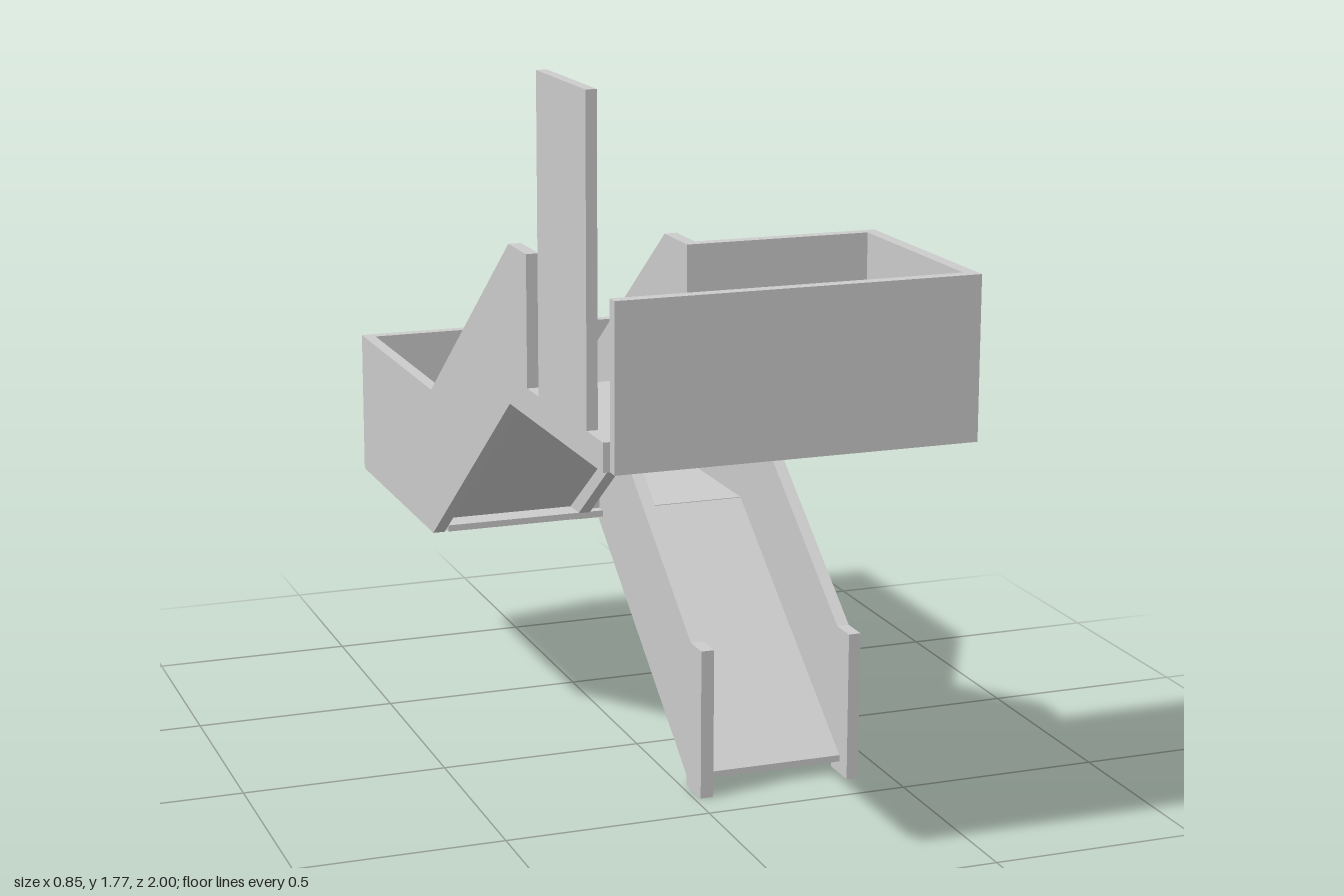
import * as THREE from 'three';

const material = new THREE.MeshStandardMaterial({ color: 0xcccccc, flatShading: true });

// Box given by its extents on each axis
function box(name, [x0, x1], [y0, y1], [z0, z1]) {
  const mesh = new THREE.Mesh(new THREE.BoxGeometry(x1 - x0, y1 - y0, z1 - z0), material);
  mesh.position.set((x0 + x1) / 2, (y0 + y1) / 2, (z0 + z1) / 2);
  mesh.name = name;
  return mesh;
}

// Side profile of [z, y] points, extruded from x0 to x1
function profile(name, [x0, x1], points) {
  const shape = new THREE.Shape(points.map(([z, y]) => new THREE.Vector2(z, y)));
  const geometry = new THREE.ExtrudeGeometry(shape, { depth: x1 - x0, bevelEnabled: false });
  geometry.rotateY(-Math.PI / 2).translate(x1, 0, 0);
  const mesh = new THREE.Mesh(geometry, material);
  mesh.name = name;
  return mesh;
}

// Sloping slab between two [z, y] points on its top surface
function ramp(name, xs, [za, ya], [zb, yb], t = 0.016) {
  return profile(name, xs, [[za, ya - t], [zb, yb - t], [zb, yb], [za, ya]]);
}

export function createModel() {
  const model = new THREE.Group();
  const low = [0.5, 0.87], high = [0.985, 1.355];

  // Lower flight: two parapets and the sloping slab
  const lowerFlight = new THREE.Group();
  lowerFlight.name = 'lowerFlight';
  const lowerParapet = [[0.405, 0], [0.405, 0.367], [0.335, 0.367], [-0.32, 0.852],
    [-0.32, 0.87], [-0.335, 0.87], [-0.335, 0.5], [0.31, 0.025], [0.31, 0]];
  lowerFlight.add(
    profile('lowerInnerParapet', [0.015, 0.047], lowerParapet),
    profile('lowerOuterParapet', [0.393, 0.423], lowerParapet),
    ramp('lowerRamp', [0.047, 0.393], [0.36, 0.046], [-0.3, 0.525]),
  );

  // Middle landing: floor, three walls and the newel block between flights
  const middleLanding = new THREE.Group();
  middleLanding.name = 'middleLanding';
  middleLanding.add(
    box('middleFloor', [-0.395, 0.393], [0.509, 0.525], [-0.97, -0.298]),
    box('middleBackWall', [-0.425, 0.423], low, [-1, -0.97]),
    box('middleLeftWall', [0.393, 0.423], low, [-0.97, -0.335]),
    box('middleRightWall', [-0.425, -0.395], low, [-0.97, -0.33]),
    box('newelBlock', [-0.05, 0.047], low, [-0.477, -0.325]),
  );

  // Upper flight: parapets run level onto the top landing
  const upperFlight = new THREE.Group();
  upperFlight.name = 'upperFlight';
  const upperParapet = (end) => [[-0.33, 0.5], [0.325, 0.985], [end, 0.985],
    [end, 1.355], [0.325, 1.355], [-0.33, 0.87]];
  upperFlight.add(
    profile('upperInnerParapet', [-0.05, -0.02], upperParapet(0.47)),
    profile('upperOuterParapet', [-0.425, -0.395], upperParapet(0.455)),
    ramp('upperRamp', [-0.395, -0.05], [-0.385, 0.525], [0.29, 1.01]),
  );

  // Top landing: L-shaped floor, walls, doorway kerb and door
  const topLanding = new THREE.Group();
  topLanding.name = 'topLanding';
  topLanding.add(
    box('topFloor', [-0.395, 0.393], [0.994, 1.01], [0.47, 0.97]),
    box('topFloorEntry', [-0.395, -0.05], [0.994, 1.01], [0.29, 0.47]),
    box('topFrontWall', [-0.41, 0.423], high, [0.97, 1]),
    box('topLeftWall', [0.393, 0.423], high, [0.47, 0.97]),
    box('topBackWall', [-0.02, 0.423], high, [0.44, 0.47]),
    box('doorKerb', [-0.425, -0.395], [0.985, 1.05], [0.455, 0.97]),
    box('door', [-0.425, -0.4], [1.05, 1.773], [0.537, 0.865]),
  );

  model.add(lowerFlight, middleLanding, upperFlight, topLanding);
  return model;
}
